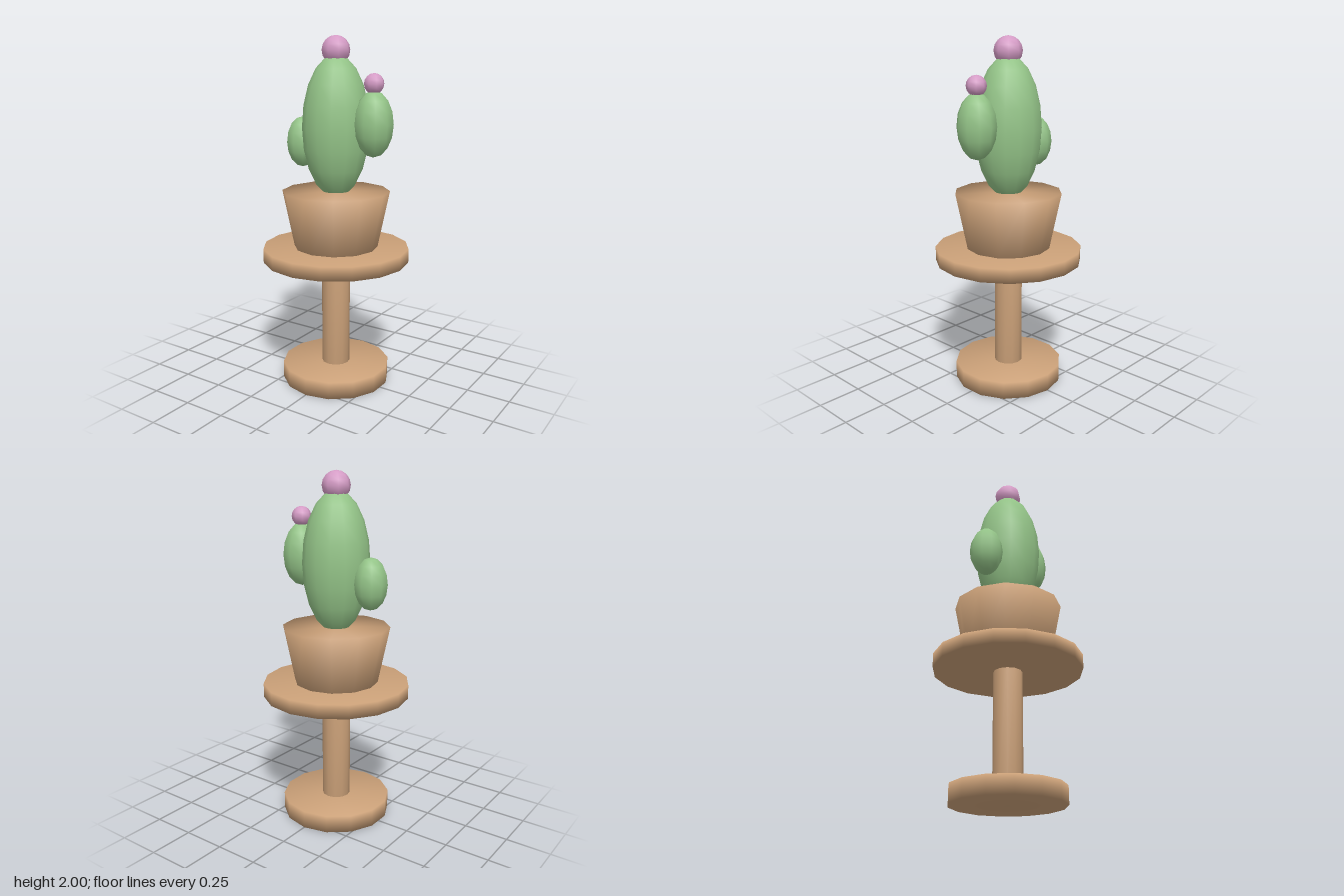
import * as THREE from 'three';
import { mergeVertices } from 'three/addons/utils/BufferGeometryUtils.js';

const material = (name, color) => {
  const m = new THREE.MeshStandardMaterial({ color });
  m.name = name;
  return m;
};

// Weld all corners so that shading runs smoothly over the rims
function soften(geometry) {
  geometry.deleteAttribute('uv');
  geometry.deleteAttribute('normal');
  const welded = mergeVertices(geometry, 1e-4);
  welded.computeVertexNormals();
  return welded;
}

export function createModel() {
  const model = new THREE.Group();
  model.name = 'pottedCactusOnStand';
  const clay = material('clayBrown', 0xcaa078);
  const green = material('cactusGreen', 0x94c488);
  const pink = material('blossomPink', 0xd59cc6);

  const add = (name, geometry, mat, x, y) => {
    const mesh = new THREE.Mesh(geometry, mat);
    mesh.name = name;
    mesh.position.set(x, y, 0);
    model.add(mesh);
  };

  // Round part between two heights
  const disc = (name, rTop, rBottom, y0, y1, sides) =>
    add(name, soften(new THREE.CylinderGeometry(rTop, rBottom, y1 - y0, sides)), clay, 0, (y0 + y1) / 2);

  // Stretched ball with a corner pointing to the front
  const ball = (name, mat, x, y, r, ry, sides, rows) => {
    const g = new THREE.SphereGeometry(r, sides, rows);
    g.rotateY(Math.PI / 2);
    g.scale(1, ry / r, 1);
    add(name, g, mat, x, y);
  };

  // Stand
  disc('standBase', 0.315, 0.315, 0, 0.1, 14);
  disc('standPost', 0.082, 0.082, 0.1, 0.735, 12);
  disc('standTop', 0.422, 0.422, 0.735, 0.815, 16);

  // Pot
  disc('pot', 0.308, 0.242, 0.815, 1.14, 12);

  // Cactus
  ball('cactusBody', green, 0, 1.5, 0.19, 0.4, 14, 10);
  ball('leftArm', green, 0.243, 1.53, 0.11, 0.18, 10, 8);
  ball('rightArm', green, -0.23, 1.405, 0.095, 0.145, 10, 8);

  // Blossoms
  ball('topBlossom', pink, 0, 1.92, 0.08, 0.08, 8, 8);
  ball('armBlossom', pink, 0.243, 1.745, 0.056, 0.056, 8, 8);

  return model;
}
